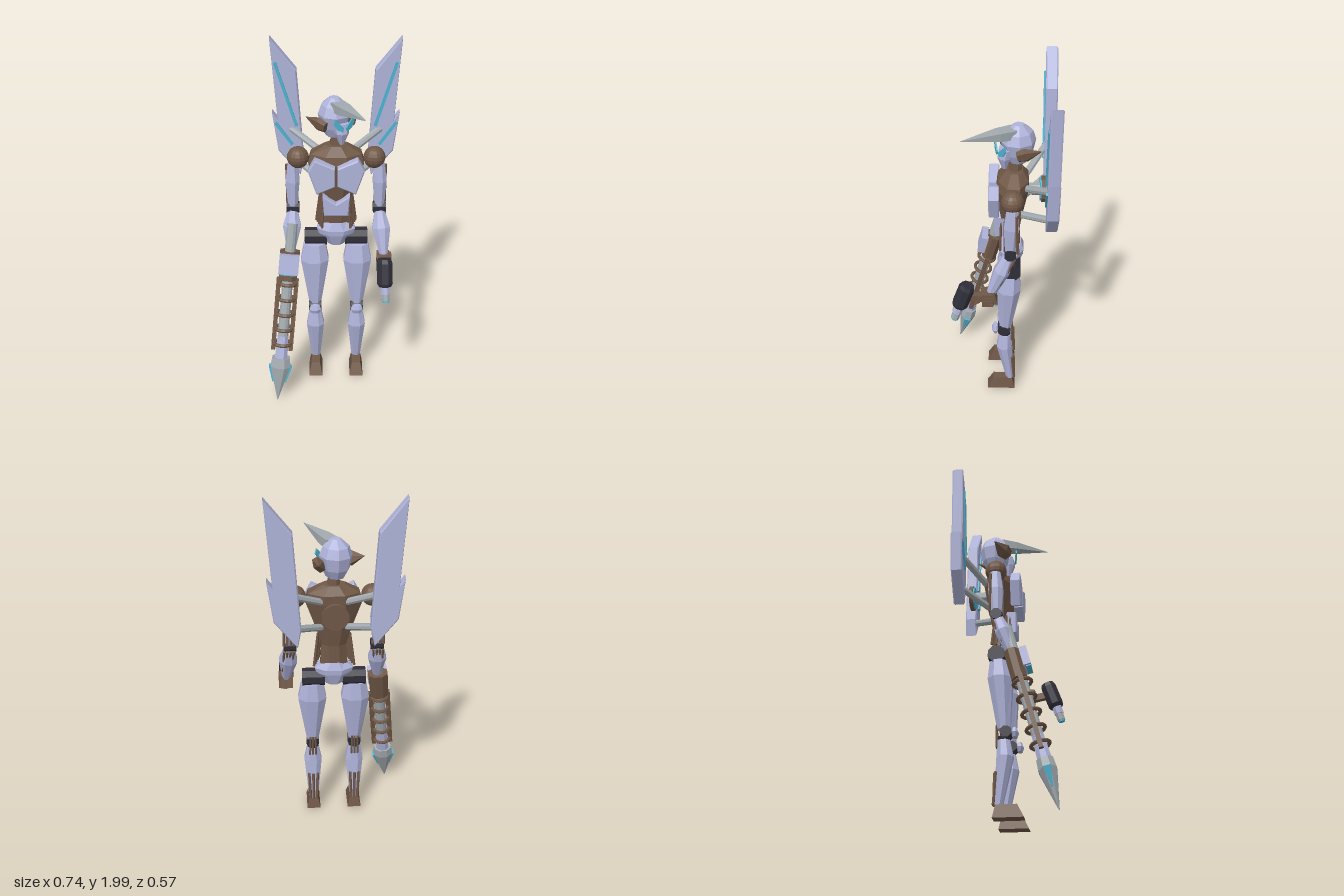
import * as THREE from 'three';

const paint = (name, color) => {
  const m = new THREE.MeshStandardMaterial({ color, flatShading: true });
  m.name = name;
  return m;
};
const armour = paint('lavender armour', 0xb0b4da);
const frame = paint('brown frame', 0x705847);
const joint = paint('black joint', 0x302f3a);
const steel = paint('grey steel', 0xa3abb0);
const glow = paint('cyan glow', 0x4db4d2);

const V = (x, y, z) => new THREE.Vector3(x, y, z);

function add(parent, name, geo, mat, x = 0, y = 0, z = 0) {
  const m = new THREE.Mesh(geo, mat);
  m.name = name;
  m.position.set(x, y, z);
  parent.add(m);
  return m;
}

// Faceted solid through sections [y, halfWidth, halfDepth, xOffset, zOffset]
function loft(sections, n = 8) {
  const k = 1 / Math.cos(Math.PI / n), pos = [];
  const rings = sections.map(([y, w, d, ox = 0, oz = 0]) => Array.from({ length: n }, (_, j) => {
    const t = (j - 0.5) * 2 * Math.PI / n;
    return V(ox + Math.sin(t) * w * k, y, oz + Math.cos(t) * d * k);
  }));
  const tri = (...p) => p.forEach(v => pos.push(v.x, v.y, v.z));
  const mid = ([y, , , ox = 0, oz = 0]) => V(ox, y, oz);
  const lo = mid(sections[0]), hi = mid(sections[sections.length - 1]);
  for (let j = 0; j < n; j++) {
    const q = (j + 1) % n;
    for (let i = 0; i < rings.length - 1; i++) {
      const a = rings[i], b = rings[i + 1];
      tri(a[j], a[q], b[q]);
      tri(a[j], b[q], b[j]);
    }
    const top = rings[rings.length - 1];
    tri(lo, rings[0][q], rings[0][j]);
    tri(hi, top[j], top[q]);
  }
  const g = new THREE.BufferGeometry();
  g.setAttribute('position', new THREE.Float32BufferAttribute(pos, 3));
  g.computeVertexNormals();
  return g;
}

// Loft stretched from a to b; section heights run 0..1
function limb(parent, name, mat, a, b, sections, n = 8) {
  const dir = b.clone().sub(a), len = dir.length();
  const m = add(parent, name, loft(sections.map(([t, ...r]) => [t * len, ...r]), n), mat, a.x, a.y, a.z);
  m.quaternion.setFromUnitVectors(V(0, 1, 0), dir.normalize());
  return m;
}
const rod = (parent, name, mat, a, b, r, n = 8) => limb(parent, name, mat, a, b, [[0, r, r], [1, r, r]], n);

// Flat outline in x/y, mirrored by s, extruded forward from z
function plate(parent, name, mat, pts, s, z, depth, bevel = 0) {
  const shape = new THREE.Shape(pts.map(([x, y]) => new THREE.Vector2(x * s, y)));
  const geo = new THREE.ExtrudeGeometry(shape, {
    depth, bevelEnabled: bevel > 0, bevelSize: bevel, bevelThickness: bevel, bevelOffset: -bevel, bevelSegments: 1 });
  return add(parent, name, geo, mat, 0, 0, z);
}

function stripe(parent, name, s, a, b, z, w = 0.008) {
  const dx = b[0] - a[0], dy = b[1] - a[1], l = Math.hypot(dx, dy), nx = -dy / l * w, ny = dx / l * w;
  plate(parent, name, glow, [[a[0] + nx, a[1] + ny], [a[0] - nx, a[1] - ny], [b[0] - nx, b[1] - ny], [b[0] + nx, b[1] + ny]], s, z, 0.009);
}

function buildTorso(body) {
  add(body, 'torso', loft([[0.99, 0.075, 0.045, 0, -0.05], [1.12, 0.066, 0.045, 0, -0.045], [1.22, 0.095, 0.06, 0, -0.045],
    [1.38, 0.15, 0.085, 0, -0.05], [1.43, 0.135, 0.08, 0, -0.055], [1.475, 0.06, 0.045, 0, -0.06]]), frame);
  add(body, 'neck', loft([[1.46, 0.035, 0.035, 0, -0.065], [1.54, 0.026, 0.026, 0, -0.065]]), frame);
  add(body, 'pelvis', loft([[0.88, 0.045, 0.04, 0, -0.045], [0.95, 0.095, 0.065, 0, -0.045],
    [0.98, 0.105, 0.068, 0, -0.045], [1.02, 0.055, 0.055, 0, -0.045]]), armour);
  plate(body, 'bellyPlate', armour, [[0, 1.16], [0.075, 1.21], [0.066, 1.09], [-0.066, 1.09], [-0.075, 1.21]], 1, -0.005, 0.045, 0.006);
  for (const s of [1, -1]) {
    plate(body, 'chestPlate', armour, [[0.006, 1.385], [0.115, 1.435], [0.15, 1.37], [0.105, 1.235], [0.006, 1.28]], s, 0.025, 0.045, 0.006);
    for (let i = 0; i < 5; i++)
      rod(body, 'waistPipe', frame, V(s * (0.066 + i * 0.005), 1.19, 0.01 - i * 0.02), V(s * (0.078 + i * 0.008), 1.0, 0.015 - i * 0.025), 0.006, 6);
    rod(body, 'hipJoint', joint, V(s * 0.05, 0.915, -0.05), V(s * 0.175, 0.915, -0.05), 0.046);
  }
  // Round pack behind the back
  rod(body, 'backDisc', frame, V(0, 1.35, -0.225), V(0, 1.35, -0.203), 0.07, 12);
  rod(body, 'backDiscGlow', glow, V(0, 1.35, -0.203), V(0, 1.35, -0.195), 0.062, 12);
  rod(body, 'backDiscMount', steel, V(0, 1.35, -0.2), V(0, 1.35, -0.11), 0.03);
}

function buildWing(body, s) {
  plate(body, 'wing', armour, [[0.35, 2.0], [0.212, 1.825], [0.178, 1.31], [0.198, 1.21], [0.318, 1.36], [0.348, 1.585], [0.318, 1.545]],
    s, -0.278, 0.05, 0.006);
  stripe(body, 'wingUpperStripe', s, [0.325, 1.87], [0.215, 1.51], -0.222);
  stripe(body, 'wingLowerStripe', s, [0.33, 1.53], [0.24, 1.4], -0.222);
  rod(body, 'wingStrut', steel, V(s * 0.07, 1.395, -0.12), V(s * 0.25, 1.49, -0.24), 0.018);
  rod(body, 'wingStrut', steel, V(s * 0.07, 1.235, -0.09), V(s * 0.22, 1.3, -0.24), 0.018);
}

function buildLeg(body, s) {
  const leg = new THREE.Group();
  leg.name = s > 0 ? 'leftLeg' : 'rightLeg';
  leg.position.x = s * 0.12;
  body.add(leg);
  add(leg, 'thigh', loft([[0.5, 0.034, 0.034, 0, -0.015], [0.78, 0.078, 0.066, 0, -0.033], [0.88, 0.06, 0.05, 0, -0.04]]), armour);
  rod(leg, 'knee', joint, V(-0.036, 0.48, -0.002), V(0.036, 0.48, -0.002), 0.03);
  add(leg, 'kneeCap', loft([[0.455, 0.024, 0.012, 0, 0.042], [0.48, 0.034, 0.02, 0, 0.042], [0.505, 0.024, 0.012, 0, 0.042]]), armour);
  add(leg, 'kneeBase', loft([[0.435, 0.03, 0.03, 0, -0.015], [0.46, 0.035, 0.033, 0, -0.012]]), joint);
  add(leg, 'shin', loft([[0.1, 0.026, 0.023, 0, -0.042], [0.35, 0.05, 0.043, 0, -0.008], [0.44, 0.033, 0.033, 0, -0.015]]), armour);
  add(leg, 'foot', loft([[0.03, 0.039, 0.08, 0, 0.01], [0.1, 0.025, 0.055, 0, 0]], 4), frame);
  for (let i = -1; i <= 1; i++) {
    rod(leg, 'calfPipe', frame, V(i * 0.018, 0.1, -0.066), V(i * 0.024, 0.27, -0.063 + Math.abs(i) * 0.01), 0.007, 6);
    rod(leg, 'kneePipe', frame, V(i * 0.017, 0.4, -0.05), V(i * 0.015, 0.52, -0.053), 0.005, 6);
  }
}

// Wrist position differs from side to side
function buildArm(body, s, wrist) {
  const arm = new THREE.Group();
  arm.name = s > 0 ? 'leftArm' : 'rightArm';
  body.add(arm);
  const top = V(s * 0.235, 1.37, -0.05), elbow = V(s * 0.238, 1.105, -0.04);
  add(arm, 'shoulder', new THREE.SphereGeometry(0.06, 14, 10), frame, s * 0.205, 1.4, -0.05);
  limb(arm, 'upperArm', armour, elbow, top, [[0.05, 0.026, 0.028], [0.6, 0.038, 0.04], [1, 0.026, 0.03]]);
  rod(arm, 'elbow', joint, elbow.clone().add(V(-0.035, 0, 0)), elbow.clone().add(V(0.035, 0, 0)), 0.03);
  limb(arm, 'forearm', armour, wrist, elbow, [[0, 0.023, 0.025], [0.55, 0.05, 0.042], [0.92, 0.028, 0.028]]);
  for (let i = 0; i < 4; i++) {
    const x = s * (0.215 + i * 0.018);
    rod(arm, 'upperArmPipe', frame, V(x, 1.12, -0.075), V(x, 1.35, -0.088 + i * 0.006), 0.006, 6);
    rod(arm, 'forearmPipe', frame, V(x, 1.08, -0.064), V(wrist.x + s * (i - 1.5) * 0.012, wrist.y + 0.06, wrist.z - 0.045), 0.006, 6);
  }
}

function buildHead(body) {
  const head = new THREE.Group();
  head.name = 'head';
  head.position.set(-0.005, 0, -0.07);
  head.rotation.y = 0.49;
  body.add(head);
  add(head, 'helmet', loft([[1.52, 0.042, 0.045, 0, -0.01], [1.57, 0.066, 0.07, 0, -0.012], [1.64, 0.08, 0.086, 0, -0.01],
    [1.69, 0.062, 0.07, 0, -0.012], [1.73, 0.024, 0.024, 0, -0.012]]), armour);
  add(head, 'faceMask', loft([[1.495, 0.012, 0.012, 0, 0.07], [1.56, 0.036, 0.03, 0, 0.074], [1.61, 0.04, 0.025, 0, 0.068]]), armour);
  limb(head, 'horn', steel, V(0, 1.69, 0.02), V(0, 1.715, 0.318), [[0, 0.038, 0.026], [0.3, 0.034, 0.022], [1, 0.001, 0.001]], 4);
  for (const s of [1, -1]) {
    limb(head, 'earSpike', frame, V(s * 0.075, 1.59, 0.035), V(s * 0.138, 1.625, -0.07), [[0, 0.022, 0.03], [0.35, 0.027, 0.04], [1, 0.001, 0.001]], 6);
    const eye = plate(head, 'eye', glow, [[0.006, 1.6], [0.052, 1.65], [0.062, 1.625], [0.042, 1.592], [0.012, 1.578]], s, 0, 0.008);
    eye.rotation.y = s * 0.25;
    eye.position.z = 0.106;
  }
}

// Right-hand lance; local y runs from the tip up the shaft
function buildLance(root) {
  const g = new THREE.Group();
  g.name = 'lance';
  const tip = V(-0.325, 0.01, 0.278);
  g.position.copy(tip);
  g.quaternion.setFromUnitVectors(V(0, 1, 0), V(-0.228, 1.0, 0.02).sub(tip).normalize());
  root.add(g);
  add(g, 'blade', loft([[0, 0.002, 0.002], [0.21, 0.056, 0.046], [0.265, 0.05, 0.042]], 8), steel);
  for (const s of [1, -1]) {
    limb(g, 'bladeGlow', glow, V(s * 0.035, 0.11, 0), V(s * 0.059, 0.21, 0), [[0, 0.004, 0.004], [1, 0.007, 0.02]], 4);
    rod(g, 'rail', frame, V(s * 0.05, 0.31, 0), V(s * 0.05, 0.74, 0), 0.012, 4);
  }
  add(g, 'bladeSocket', loft([[0.26, 0.036, 0.036], [0.4, 0.03, 0.03]], 8), armour);
  rod(g, 'shaft', steel, V(0, 0.38, 0), V(0, 1.06, 0), 0.03, 12);
  for (let i = 0; i < 5; i++) {
    const ring = add(g, 'rung', new THREE.TorusGeometry(0.048, 0.01, 6, 14), frame, 0, 0.35 + i * 0.09, 0);
    ring.rotation.x = Math.PI / 2;
  }
  add(g, 'grip', loft([[0.73, 0.05, 0.042], [0.9, 0.055, 0.042]], 8), frame, 0, 0, -0.008);
  add(g, 'guardPlate', new THREE.BoxGeometry(0.11, 0.11, 0.04), armour, 0, 0.835, 0.05);
  add(g, 'guardGlow', new THREE.BoxGeometry(0.085, 0.008, 0.025), glow, 0, 0.778, 0.055);
}

// Left hand and the hilt it holds
function buildHilt(root) {
  const g = new THREE.Group();
  g.name = 'hilt';
  root.add(g);
  add(g, 'hand', new THREE.BoxGeometry(0.07, 0.075, 0.075), frame, 0.275, 0.83, 0.072).rotation.x = 0.2;
  for (let i = 0; i < 4; i++)
    add(g, 'finger', new THREE.BoxGeometry(0.016, 0.018, 0.06), frame, 0.312, 0.8 + i * 0.02, 0.08);
  rod(g, 'gripBar', frame, V(0.277, 0.815, 0.09), V(0.277, 0.835, 0.19), 0.018, 4);
  const a = V(0.275, 0.905, 0.185), b = V(0.278, 0.76, 0.237), c = V(0.285, 0.675, 0.264);
  limb(g, 'hiltBody', joint, b, a, [[0, 0.032, 0.034], [0.12, 0.042, 0.042], [0.85, 0.042, 0.042], [1, 0.033, 0.034]]);
  const at = t => b.clone().lerp(c, t);
  rod(g, 'nozzleNeck', armour, at(0.45), at(-0.05), 0.026);
  rod(g, 'nozzle', steel, at(0.88), at(0.45), 0.022);
  rod(g, 'nozzleGlow', glow, at(1), at(0.88), 0.018);
}

export function createModel() {
  const root = new THREE.Group();
  root.name = 'armouredFigure';
  const body = new THREE.Group();
  body.name = 'body';
  body.position.x = 0.015;
  root.add(body);
  buildTorso(body);
  buildHead(body);
  for (const s of [1, -1]) {
    buildWing(body, s);
    buildLeg(body, s);
  }
  buildArm(body, 1, V(0.262, 0.86, 0.06));
  buildArm(body, -1, V(-0.25, 0.88, 0.04));
  buildLance(root);
  buildHilt(root);
  return root;
}
